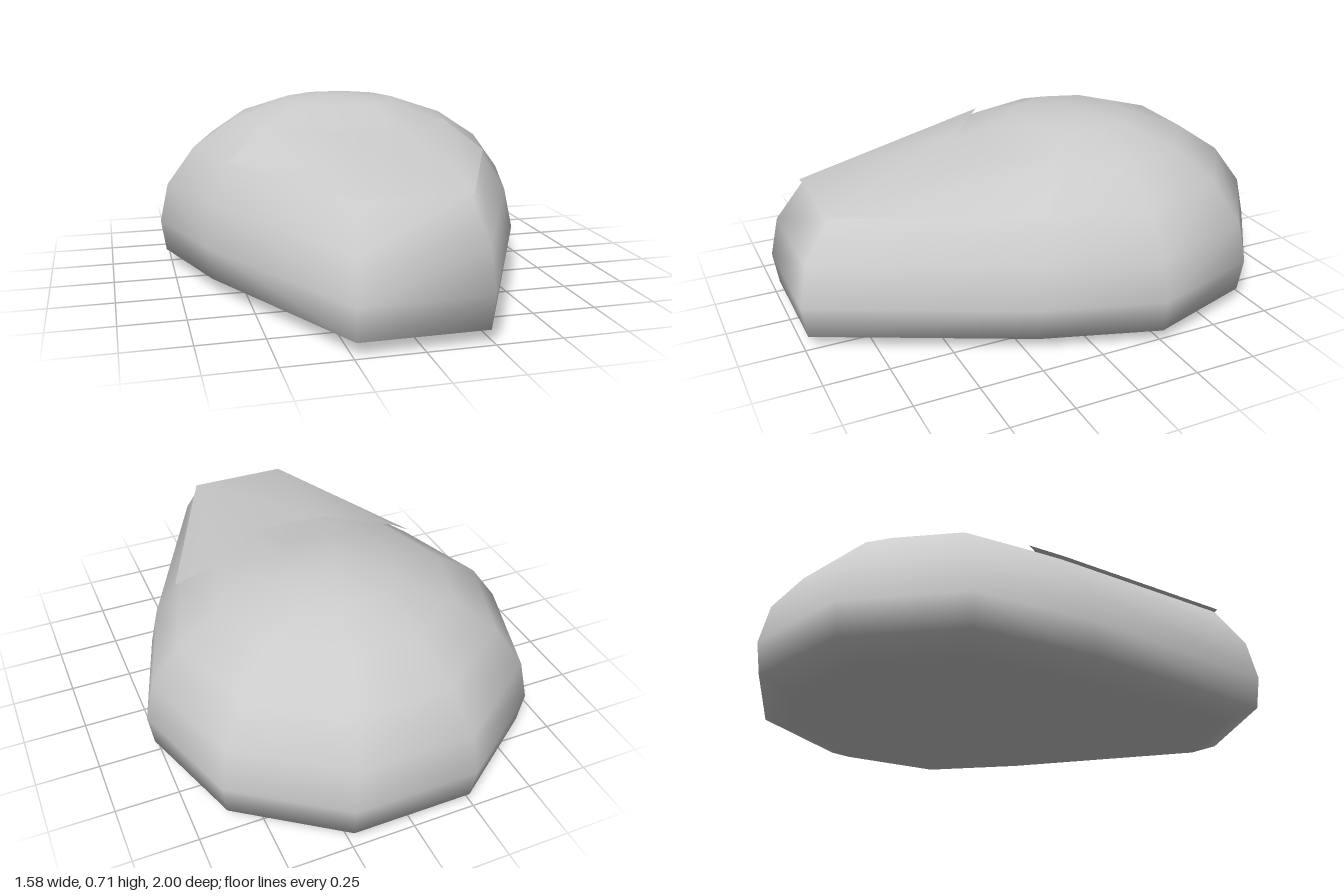
import * as THREE from 'three';

const SIDES = 10;
const RADIUS = 0.79;
const CENTRE_Z = -0.25;

// Rings from the underside to the crown: [height, scale of the outline]
const RINGS = [
  [0, 0], [0, 0.81], [0.05, 0.975], [0.18, 1], [0.34, 0.955],
  [0.495, 0.81], [0.61, 0.59], [0.685, 0.309], [0.71, 0],
];
const NOSE_TOP = 5; // last ring stretched forward into the nose

function smoothGeometry(positions, index) {
  const geometry = new THREE.BufferGeometry();
  geometry.setAttribute('position', new THREE.Float32BufferAttribute(positions, 3));
  geometry.setIndex(index);
  geometry.computeVertexNormals();
  return geometry;
}

function bodyGeometry() {
  const positions = [];
  const index = [];
  RINGS.forEach(([y, s], r) => {
    for (let k = 0; k < SIDES; k++) {
      const a = (k / SIDES) * Math.PI * 2;
      const isNose = (k === 2 || k === 3) && r <= NOSE_TOP && s > 0;
      positions.push(
        RADIUS * s * Math.cos(a), y,
        RADIUS * s * Math.sin(a) + CENTRE_Z + (isNose ? 0.5 : 0));
    }
  });
  // The two poles use a single shared point
  const at = (r, k) => r * SIDES + (RINGS[r][1] === 0 ? 0 : k % SIDES);
  const addTriangle = (a, b, c) => {
    if (a !== b && b !== c && c !== a) index.push(a, b, c);
  };
  for (let r = 0; r < RINGS.length - 1; r++) {
    for (let k = 0; k < SIDES; k++) {
      const a = at(r, k), b = at(r, k + 1), c = at(r + 1, k), d = at(r + 1, k + 1);
      // Mirror the diagonals so both flanks match
      if (k >= 3 && k <= 7) {
        addTriangle(a, c, d);
        addTriangle(a, d, b);
      } else {
        addTriangle(a, c, b);
        addTriangle(b, c, d);
      }
    }
  }
  return smoothGeometry(positions, index);
}

// Sloping plate lying just above the nose
function plateGeometry() {
  const half = [
    [0.535, 0.5, 0.13],   // outer corner
    [0.208, 0.503, 0.867], // front corner
    [0.39, 0.624, 0.02],  // rear tip
    [0.15, 0.622, 0.2],   // inner notch
  ];
  const positions = [
    ...half.flat(),
    ...half.flatMap(([x, y, z]) => [-x, y, z]),
  ];
  const index = [
    0, 2, 1, 1, 2, 3, // left wing
    4, 5, 6, 5, 7, 6, // right wing
    1, 3, 7, 1, 7, 5, // middle
  ];
  return smoothGeometry(positions, index);
}

export function createModel() {
  const group = new THREE.Group();
  group.name = 'shell';

  const body = new THREE.Mesh(
    bodyGeometry(),
    new THREE.MeshStandardMaterial({ color: 0xcccccc }));
  body.name = 'body';

  const plate = new THREE.Mesh(
    plateGeometry(),
    new THREE.MeshStandardMaterial({ color: 0xcccccc, side: THREE.DoubleSide }));
  plate.name = 'frontPlate';

  group.add(body, plate);
  return group;
}
